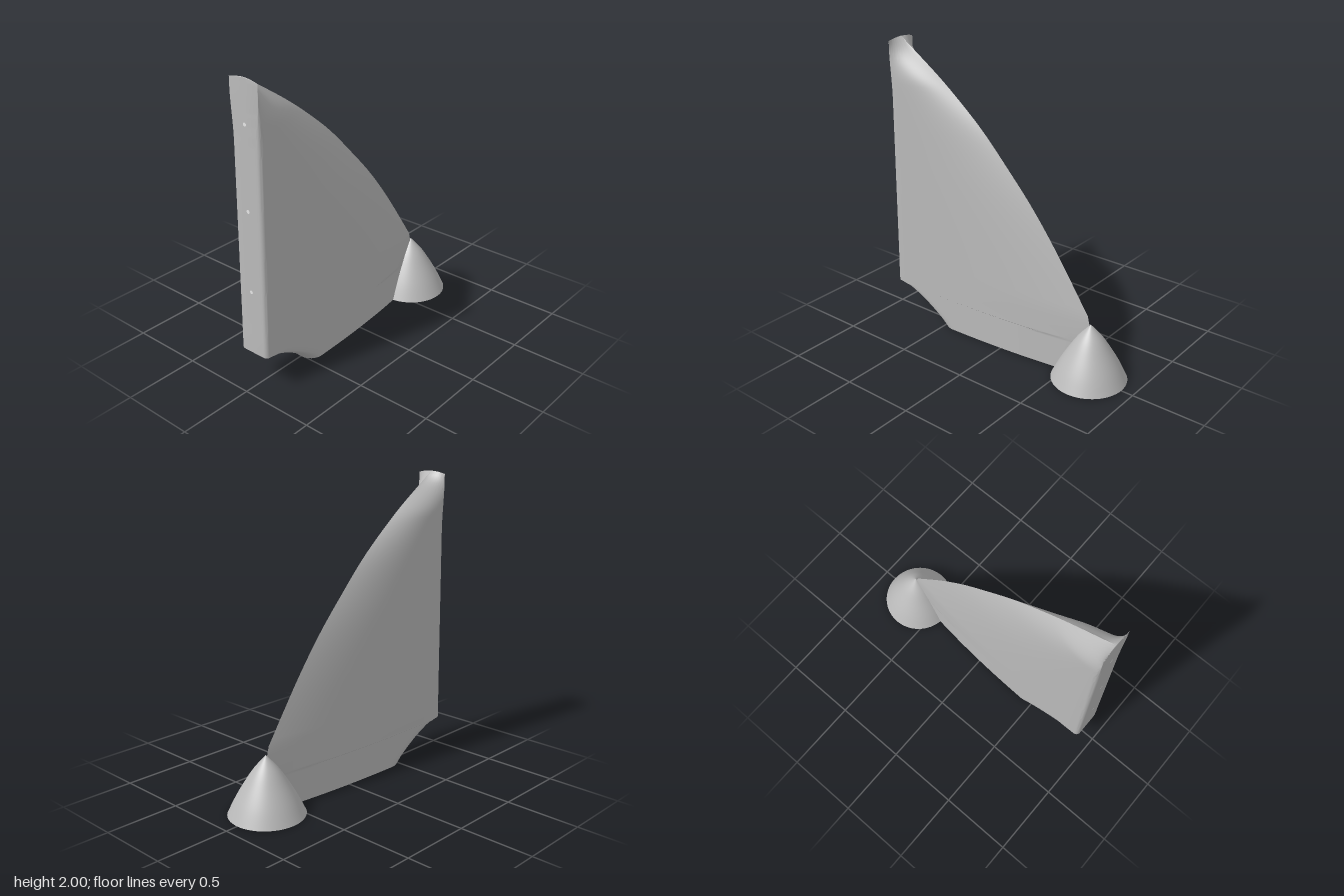
import * as THREE from 'three';
import { toCreasedNormals } from 'three/addons/utils/BufferGeometryUtils.js';

const HALF = 0.11; // half thickness of the fin

// Half thickness along the chord, t = 0 at the sharp leading edge, 1 at the root.
// Near the tip the profile turns hollow, so the root edge flares out.
function profile(t, y) {
  const full = 1 - Math.pow(1 - t, 2.5);
  const flare = THREE.MathUtils.smoothstep(y, 1.72, 1.99);
  return HALF * THREE.MathUtils.lerp(full, Math.pow(t, 1.5), flare) * (y < 0.228 ? 0.95 : 1);
}

// One horizontal closed section: flat rounded root, two curved flanks, sharp front.
function section({ y, back, lead }) {
  const root = -0.92 + Math.max(0, y - 0.24) * 0.0114;
  const chord = lead - root;
  let r = y < 0.24 ? THREE.MathUtils.lerp(0.09, 0.03, y / 0.24)
    : 0.03 * (1 - THREE.MathUtils.smoothstep(y, 1.6, 1.95));
  r = Math.max(0.001, Math.min(r, chord * 0.2));
  const w = profile(Math.min(1, (lead - back - r) / (chord - r)), y);
  const half = [[back, 0]];
  for (let i = 0; i <= 6; i++) {
    const a = (i / 6) * Math.PI / 2;
    half.push([back + r * (1 - Math.cos(a)), w - r + r * Math.sin(a)]);
  }
  const start = back + r;
  for (let i = 1; i <= 24; i++) {
    const x = THREE.MathUtils.lerp(start, lead, i / 24);
    half.push([x, i === 24 ? 0 : profile((lead - x) / (chord - r), y)]);
  }
  const mirrored = half.slice(1, -1).reverse().map(([x, z]) => [x, -z]);
  const sag = 0.015 * THREE.MathUtils.smoothstep(y, 1.9, 2);
  return [...half, ...mirrored].map(([x, z]) => [x, y - sag * (z / HALF) ** 2, z]);
}

function finGeometry() {
  // foot with the concave cut-out at its rear: y, back x, leading x
  const rows = [
    [0, -0.51, 0.66], [0.05, -0.555, 0.66], [0.1, -0.615, 0.66], [0.15, -0.685, 0.66],
    [0.19, -0.755, 0.66], [0.215, -0.81, 0.66], [0.227, -0.845, 0.66], [0.231, -0.86, 0.66],
    [0.237, -0.89, 0.66], [0.24, -0.92, 0.66], [0.3, -0.92, 0.66], [0.38, -0.919, 0.66],
  ].map(([y, back, lead]) => ({ y, back, lead }));
  // curved leading edge
  const edge = new THREE.SplineCurve([
    [0.645, 0.44], [0.4, 0.8], [0.2, 1.06], [0, 1.28], [-0.2, 1.485],
    [-0.4, 1.655], [-0.6, 1.805], [-0.893, 2],
  ].map(([x, y]) => new THREE.Vector2(x, y)));
  for (const p of edge.getSpacedPoints(48)) {
    rows.push({ y: p.y, back: -0.92 + (p.y - 0.24) * 0.0114, lead: p.x });
  }

  const rings = rows.map(section);
  const n = rings[0].length;
  const positions = rings.flat(2);
  const index = [];
  for (let i = 0; i < rings.length - 1; i++) {
    for (let j = 0; j < n; j++) {
      const a = i * n + j, b = i * n + (j + 1) % n;
      index.push(a, b, b + n, a, b + n, a + n);
    }
  }
  // caps: strips between the two mirrored flanks
  const top = (rings.length - 1) * n;
  for (let j = 0; j < n / 2; j++) {
    const k = (n - j) % n, k2 = n - j - 1;
    index.push(j, k2, j + 1, j, k, k2);
    index.push(top + j, top + j + 1, top + k2, top + j, top + k2, top + k);
  }
  const geometry = new THREE.BufferGeometry();
  geometry.setAttribute('position', new THREE.Float32BufferAttribute(positions, 3));
  geometry.setIndex(index);
  return toCreasedNormals(geometry, 0.6);
}

export function createModel() {
  const model = new THREE.Group();
  model.name = 'finWithPod';
  const grey = new THREE.MeshStandardMaterial({ color: 0xbababa });
  grey.name = 'grey';
  const pale = new THREE.MeshStandardMaterial({ color: 0xf0f0f0 });
  pale.name = 'paleHole';

  const add = (name, geometry, material, x = 0, y = 0, z = 0) => {
    const mesh = new THREE.Mesh(geometry, material);
    mesh.name = name;
    mesh.position.set(x, y, z);
    model.add(mesh);
    return mesh;
  };

  add('fin', finGeometry(), grey);

  // pointed pod at the foot of the leading edge
  const curve = new THREE.SplineCurve([
    [0.248, 0], [0.2, 0.1], [0.143, 0.2], [0.078, 0.3], [0, 0.39],
  ].map(([x, y]) => new THREE.Vector2(x, y)));
  const outline = curve.getPoints(20);
  outline[outline.length - 1].x = 0;
  add('pod', new THREE.LatheGeometry(outline, 64), grey, 0.67);
  add('podBase', new THREE.CircleGeometry(0.248, 64).rotateX(Math.PI / 2), grey, 0.67);

  // pin holes along the root edge and underneath
  const hole = new THREE.CircleGeometry(0.012, 16);
  for (const y of [0.67, 1.2, 1.73]) {
    const pin = add('rootPinHole', hole, pale, -0.922 + (y - 0.24) * 0.0114, y, 0);
    pin.rotation.y = -Math.PI / 2;
  }
  for (const x of [0.1, 0.67]) {
    const pin = add('basePinHole', hole, pale, x, -0.002, 0);
    pin.rotation.x = Math.PI / 2;
  }
  return model;
}
